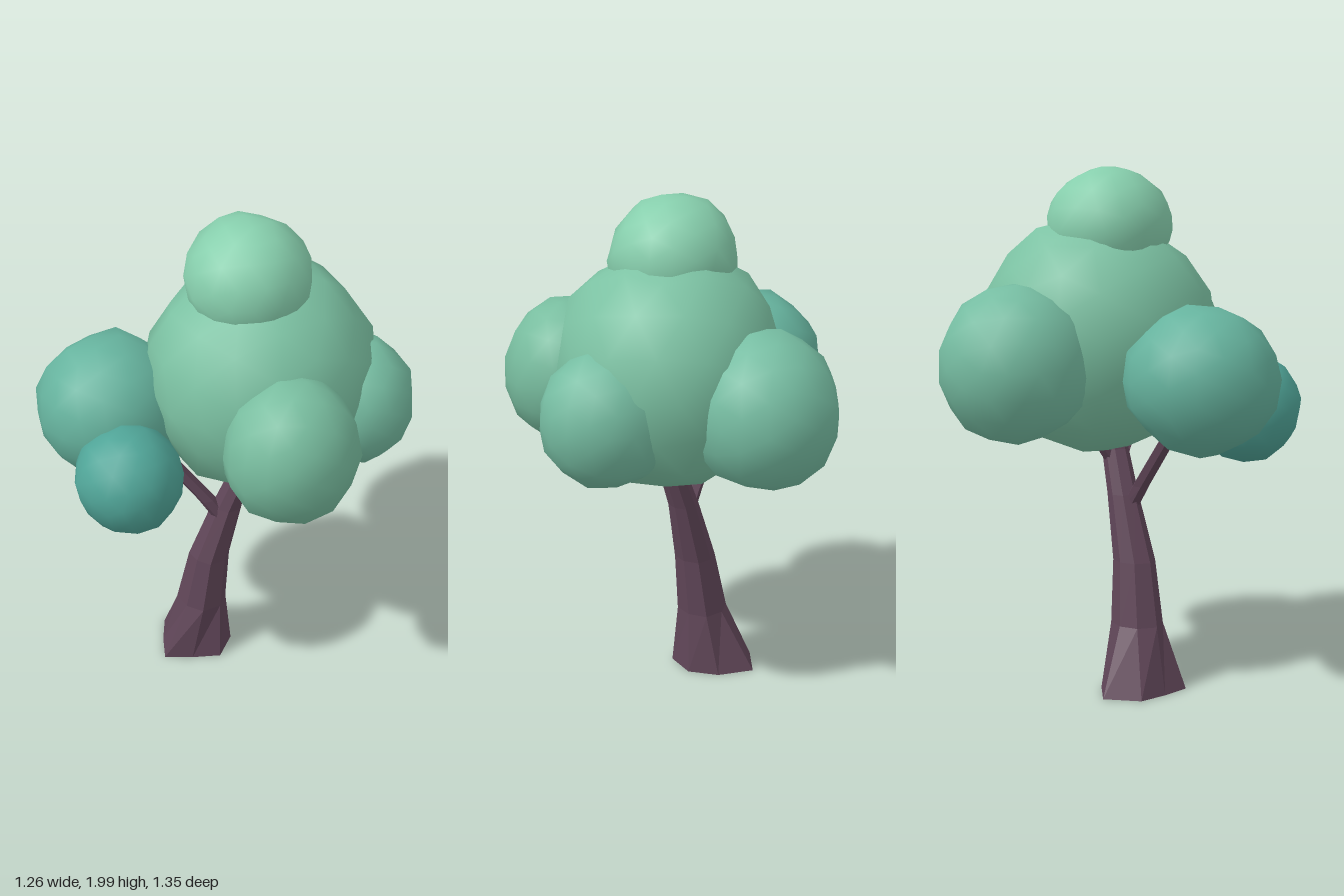
import * as THREE from 'three';

// Repeatable value in 0..1 for a point, so shared corners move together
function hash(x, y, z, seed) {
  const q = (v) => Math.round(v * 1000);
  const s = Math.sin(q(x) * 0.129 + q(y) * 0.782 + q(z) * 0.371 + seed * 3.7) * 4375.85;
  return s - Math.floor(s);
}

// Rough, faceted outline with soft, round shading
function foliage(name, color, center, radii, seed) {
  const geo = new THREE.IcosahedronGeometry(1, 2);
  const p = geo.attributes.position;
  for (let i = 0; i < p.count; i++) {
    const x = p.getX(i), y = p.getY(i), z = p.getZ(i);
    const k = 0.965 + 0.08 * hash(x, y, z, seed);
    p.setXYZ(i, x * k, y * k, z * k);
  }
  geo.rotateY(seed * 1.3);
  geo.scale(...radii);
  const mesh = new THREE.Mesh(geo, new THREE.MeshStandardMaterial({ color }));
  mesh.name = name;
  mesh.position.set(...center);
  return mesh;
}

// Tapered many-sided limb through rings of [x, y, z, radius], closed at both ends;
// foot scales each corner of the first ring
function limb(name, rings, sides, foot = Array(sides).fill(1)) {
  const pos = [], index = [];
  rings.forEach(([x, y, z, r], j) => {
    for (let i = 0; i < sides; i++) {
      const a = (i / sides) * Math.PI * 2;
      const k = r * (j === 0 ? foot[i] : 1 + 0.06 * Math.sin(i * 2.4));
      pos.push(x + Math.cos(a) * k, y, z + Math.sin(a) * k);
    }
  });
  for (let j = 0; j < rings.length - 1; j++) {
    for (let i = 0; i < sides; i++) {
      const n = (i + 1) % sides;
      const a = j * sides + i, b = j * sides + n, c = a + sides, d = b + sides;
      index.push(a, c, b, b, c, d);
    }
  }
  const top = (rings.length - 1) * sides;
  for (let i = 1; i < sides - 1; i++) {
    index.push(0, i, i + 1, top, top + i + 1, top + i);
  }
  const geo = new THREE.BufferGeometry();
  geo.setAttribute('position', new THREE.Float32BufferAttribute(pos, 3));
  geo.setIndex(index);
  geo.computeVertexNormals();
  const mesh = new THREE.Mesh(geo, new THREE.MeshStandardMaterial({ color: 0x604658, flatShading: true }));
  mesh.name = name;
  return mesh;
}

export function createModel() {
  const tree = new THREE.Group();
  tree.name = 'tree';

  // Leaning trunk with a flared, uneven foot
  tree.add(limb('trunk', [
    [-0.165, 0.01, 0.09, 0.163],
    [-0.121, 0.26, 0.068, 0.1],
    [-0.088, 0.5, 0.054, 0.081],
    [-0.033, 0.75, 0.006, 0.06],
    [0.02, 0.92, -0.028, 0.052],
    [0.06, 1.15, -0.06, 0.04],
  ], 8, [1, 0.75, 1, 0.75, 1, 1.27, 1, 1]));

  // Branches reaching into the foliage
  tree.add(limb('frontBranch', [
    [-0.045, 0.7, 0.03, 0.038],
    [-0.085, 0.79, 0.075, 0.036],
    [-0.195, 0.98, 0.175, 0.034],
    [-0.32, 1.16, 0.27, 0.026],
  ], 6));
  tree.add(limb('leftBranch', [
    [0.015, 0.86, -0.02, 0.036], [0.1, 0.97, 0.02, 0.028], [0.3, 1.2, 0.1, 0.018],
  ], 6));
  tree.add(limb('backBranch', [
    [0.015, 0.86, -0.03, 0.036], [-0.03, 0.97, -0.1, 0.028], [-0.2, 1.2, -0.3, 0.018],
  ], 6));

  // Foliage clumps, darker toward the low front
  const clumps = [
    ['mainCrown', 0x7cc2a3, [0.04, 1.365, -0.1], [0.425, 0.455, 0.45]],
    ['topClump', 0x87cfad, [0.015, 1.765, -0.055], [0.24, 0.235, 0.24]],
    ['leftClump', 0x78bd9f, [0.39, 1.285, 0.125], [0.245, 0.285, 0.26]],
    ['backLeftClump', 0x76bda2, [0.3, 1.255, -0.32], [0.25, 0.26, 0.23]],
    ['backRightClump', 0x76bda2, [-0.265, 1.275, -0.38], [0.28, 0.3, 0.29]],
    ['frontRightClump', 0x66b39e, [-0.355, 1.235, 0.31], [0.278, 0.275, 0.285]],
    ['lowFrontClump', 0x50a598, [-0.095, 1.103, 0.478], [0.205, 0.207, 0.205]],
  ];
  clumps.forEach(([name, color, center, radii], i) => tree.add(foliage(name, color, center, radii, i + 1)));
  return tree;
}
